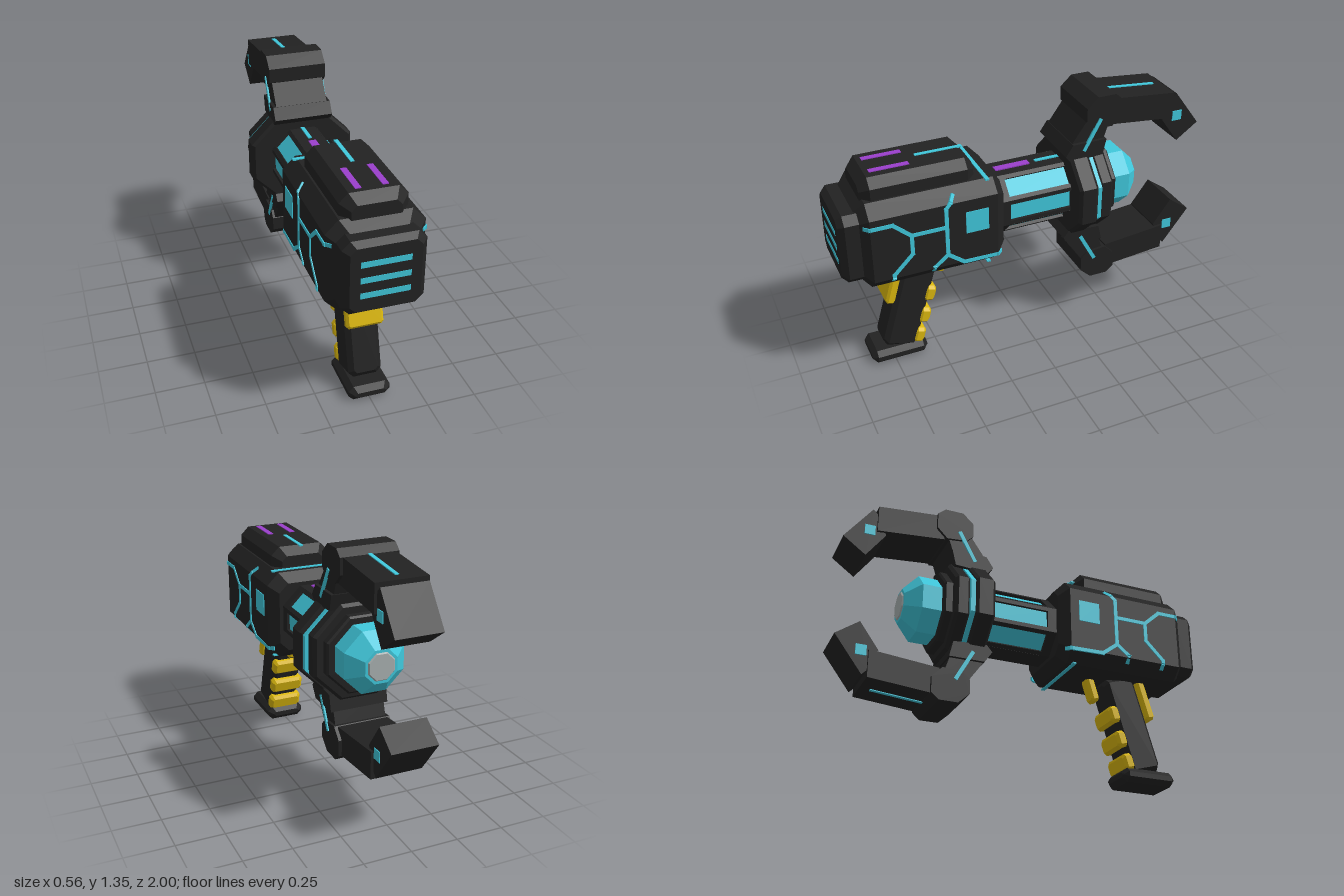
import * as THREE from 'three';

const CY = 0.81; // height of the barrel axis
const mat = (name, color) => Object.assign(new THREE.MeshStandardMaterial({ color }), { name });

// Flat-shaded loft through eight-sided sections [z, halfWidth, halfHeight, cornerCut], z ascending
function loft(sections) {
  const rings = sections.map(([z, w, h, c]) => [
    [w, -h + c, z], [w, h - c, z], [w - c, h, z], [-w + c, h, z],
    [-w, h - c, z], [-w, -h + c, z], [-w + c, -h, z], [w - c, -h, z]]);
  const pos = [];
  const tri = (...p) => p.forEach(q => pos.push(...q));
  for (let s = 0; s < rings.length - 1; s++) {
    const a = rings[s], b = rings[s + 1];
    for (let i = 0; i < 8; i++) {
      const j = (i + 1) % 8;
      tri(a[i], a[j], b[j]);
      tri(a[i], b[j], b[i]);
    }
  }
  const first = rings[0], last = rings[rings.length - 1];
  for (let i = 1; i < 7; i++) {
    tri(last[0], last[i], last[i + 1]);
    tri(first[0], first[i + 1], first[i]);
  }
  const g = new THREE.BufferGeometry();
  g.setAttribute('position', new THREE.Float32BufferAttribute(pos, 3));
  g.computeVertexNormals();
  return g;
}

// Box with every edge cut at an angle
function chamferBox(w, h, d, c) {
  const x = w / 2, y = h / 2, z = d / 2;
  return loft([[-z, x - c, y - c, c * 0.6], [-z + c, x, y, c], [z - c, x, y, c], [z, x - c, y - c, c * 0.6]]);
}

// Regular octagonal section
const oct = (z, r, ry = r) => [z, r, ry, r * 0.586];

// Side profile of [z, y] points, given a width across x
function sidePlate(points, width) {
  const g = new THREE.ExtrudeGeometry(new THREE.Shape(points.map(p => new THREE.Vector2(...p))),
    { depth: width, bevelEnabled: false });
  return g.translate(0, 0, -width / 2).rotateY(-Math.PI / 2);
}

export function createModel() {
  const root = new THREE.Group();
  root.name = 'clawBlaster';
  const black = mat('black', 0x222222);
  const cyan = mat('cyan', 0x40c8dc);
  const yellow = mat('yellow', 0xdcb90f);
  const purple = mat('purple', 0x9a3fcc);
  const grey = mat('grey', 0xa8b0b0);

  function add(name, geometry, material, x = 0, y = 0, z = 0, tilt = 0) {
    const m = new THREE.Mesh(geometry, material);
    m.name = name;
    m.position.set(x, y, z);
    m.rotation.x = tilt;
    root.add(m);
    return m;
  }
  const box = (name, w, h, d, material, x, y, z, tilt) =>
    add(name, new THREE.BoxGeometry(w, h, d), material, x, y, z, tilt);

  // Thin bar running from a to b, lying on a surface that faces "up"
  function strip(name, a, b, up, width = 0.02, extra = 0.015) {
    const p = new THREE.Vector3(...a), q = new THREE.Vector3(...b);
    const m = box(name, width, 0.009, p.distanceTo(q) + extra, cyan, 0, 0, 0);
    m.position.copy(p).lerp(q, 0.5);
    m.up.set(...up);
    m.lookAt(q);
  }

  // Body
  add('body', loft([[0.16, 0.19, 0.19, 0.05], [0.21, 0.24, 0.24, 0.065],
    [0.86, 0.24, 0.24, 0.065], [0.91, 0.19, 0.19, 0.05]]), black, 0, CY, 0);
  add('rearCap', loft([[0.88, 0.2, 0.19, 0.04], [0.97, 0.2, 0.19, 0.04], [1, 0.17, 0.165, 0.03]]), black, 0, CY, 0);
  add('topHump', chamferBox(0.33, 0.21, 0.58, 0.045), black, 0, 1.05, 0.58);
  for (const y of [0.89, 0.808, 0.728]) box('rearVent', 0.24, 0.03, 0.008, cyan, 0, y, 0.998);
  for (const s of [-1, 1]) box('humpLight', 0.03, 0.008, 0.2, purple, s * 0.065, 1.155, 0.7);
  box('humpLine', 0.02, 0.008, 0.24, cyan, 0, 1.155, 0.43);
  for (const s of [-1, 1]) box('bodyBand', 0.4, 0.008, 0.02, cyan, 0, CY + s * 0.241, 0.247);

  // Circuit lines on both sides, following the chamfers
  const surfaceX = (z, y) => 0.24 - Math.max(0, Math.abs(y - CY) - 0.175, z - 0.86, 0.21 - z);
  const circuits = [
    [[0.88, 0.94], [0.86, 0.94], [0.75, 0.94], [0.66, 0.86], [0.48, 0.86]],
    [[0.66, 0.86], [0.66, 0.755], [0.76, 0.655], [0.76, 0.635], [0.76, 0.615]],
    [[0.435, 1.015], [0.455, 0.99], [0.48, 0.965], [0.48, 0.7], [0.55, 0.645], [0.55, 0.615]],
    [[0.48, 0.7], [0.395, 0.635], [0.21, 0.632], [0.19, 0.632]]];
  for (const s of [-1, 1]) {
    for (const line of circuits) for (let i = 1; i < line.length; i++) {
      const [a, b] = [line[i - 1], line[i]].map(([z, y]) => [s * surfaceX(z, y), y, z]);
      strip('circuitLine', a, b, [s, 0, 0]);
    }
    box('sideWindow', 0.008, 0.12, 0.12, cyan, s * 0.24, 0.86, 0.32);
  }

  // Barrel: dark core, raised ribs at the corners, glowing panels between them
  add('barrelCore', loft([oct(-0.25, 0.148), oct(0.18, 0.148)]), black, 0, CY, 0);
  add('barrelRoot', loft([oct(0.11, 0.17), oct(0.18, 0.17)]), black, 0, CY, 0);
  for (let i = 0; i < 8; i++) {
    const angle = i * Math.PI / 4;
    const face = new THREE.Group();
    face.name = 'barrelFace';
    face.position.y = CY;
    face.rotation.z = angle;
    const part = (name, w, h, d, m, x, y, z) => {
      const mesh = box(name, w, h, d, m, x, y, z);
      face.add(mesh);
    };
    if (i % 4 === 2) {
      part('barrelSpine', 0.03, 0.14, 0.4, black, 0.155, 0, -0.05);
    } else {
      for (const s of [-1, 1]) part('barrelRib', 0.03, 0.022, 0.4, black, 0.155, s * 0.059, -0.05);
      part('barrelPanel', 0.008, 0.1, 0.34, cyan, 0.15, 0, -0.06);
    }
    root.add(face);
  }
  box('barrelLight', 0.04, 0.008, 0.19, purple, 0, 0.982, 0.035);
  box('barrelLine', 0.02, 0.008, 0.14, cyan, 0, 0.982, -0.165);

  // Collar rings and emitter
  add('collar', loft([oct(-0.335, 0.27, 0.255), oct(-0.32, 0.28, 0.265),
    oct(-0.245, 0.28, 0.265), oct(-0.23, 0.265, 0.25)]), black, 0, CY, 0);
  add('collarGlow', loft([oct(-0.36, 0.265, 0.245), oct(-0.33, 0.265, 0.245)]), cyan, 0, CY, 0);
  add('middleRing', loft([oct(-0.435, 0.235), oct(-0.42, 0.25),
    oct(-0.37, 0.25), oct(-0.355, 0.24)]), black, 0, CY, 0);
  add('frontRing', loft([oct(-0.478, 0.19), oct(-0.47, 0.2), oct(-0.43, 0.2)]), black, 0, CY, 0);
  add('emitter', loft([oct(-0.655, 0.085), oct(-0.58, 0.16), oct(-0.46, 0.16)]), cyan, 0, CY, 0);
  add('emitterTip', loft([oct(-0.662, 0.065), oct(-0.65, 0.075)]), grey, 0, CY, 0);

  // Claws, mirrored above and below the barrel axis
  for (const s of [1, -1]) {
    const flip = y => CY + s * (y - CY);
    const plate = (name, pts, width) =>
      add(name, sidePlate(pts.map(([z, y]) => [z, flip(y)]), width), black);
    plate('clawRoot', [[-0.2, 1.055], [-0.24, 1.115], [-0.43, 1.115], [-0.41, 1.03], [-0.23, 1.02]], 0.315);
    plate('clawArm', [[-0.2, 1.055], [-0.32, 1.225], [-0.45, 1.2], [-0.4, 1.05], [-0.23, 1.02]], 0.28);
    plate('clawKnuckle', [[-0.375, 1.355], [-0.475, 1.355], [-0.515, 1.32], [-0.515, 1.235],
      [-0.46, 1.18], [-0.35, 1.19], [-0.315, 1.225], [-0.315, 1.3]], 0.308);
    plate('clawFinger', [[-0.48, 1.322], [-0.83, 1.29], [-0.83, 1.145], [-0.47, 1.18]], 0.274);
    plate('clawTip', [[-0.855, 1.275], [-1, 1.083], [-0.88, 0.997], [-0.78, 1.135], [-0.825, 1.245]], 0.245);
    strip('fingerLine', [0, flip(1.323), -0.47], [0, flip(1.295), -0.78], [0, 1, 0], 0.02, 0);
    for (const side of [-1, 1]) {
      const x = side * 0.155;
      strip('armLine', [x, flip(1.07), -0.302], [x, flip(1.235), -0.393], [1, 0, 0], 0.02, 0);
      box('tipLight', 0.008, 0.055, 0.055, cyan, side * 0.123, flip(1.148), -0.866);
    }
  }

  // Handle, grips and trigger
  const lean = -0.28;
  add('handle', chamferBox(0.172, 0.54, 0.19, 0.025), black, 0, 0.33, 0.645, lean);
  add('handleBase', chamferBox(0.216, 0.078, 0.305, 0.026), black, 0, 0.041, 0.722);
  add('palmGrip', chamferBox(0.19, 0.24, 0.05, 0.012), yellow, 0, 0.485, 0.725, lean);
  for (const [y, z] of [[0.37, 0.537], [0.236, 0.572], [0.114, 0.608]])
    add('fingerGrip', chamferBox(0.188, 0.09, 0.062, 0.015), yellow, 0, y, z, lean);
  add('trigger', chamferBox(0.075, 0.14, 0.048, 0.012), yellow, 0, 0.52, 0.438, lean);

  return root;
}
